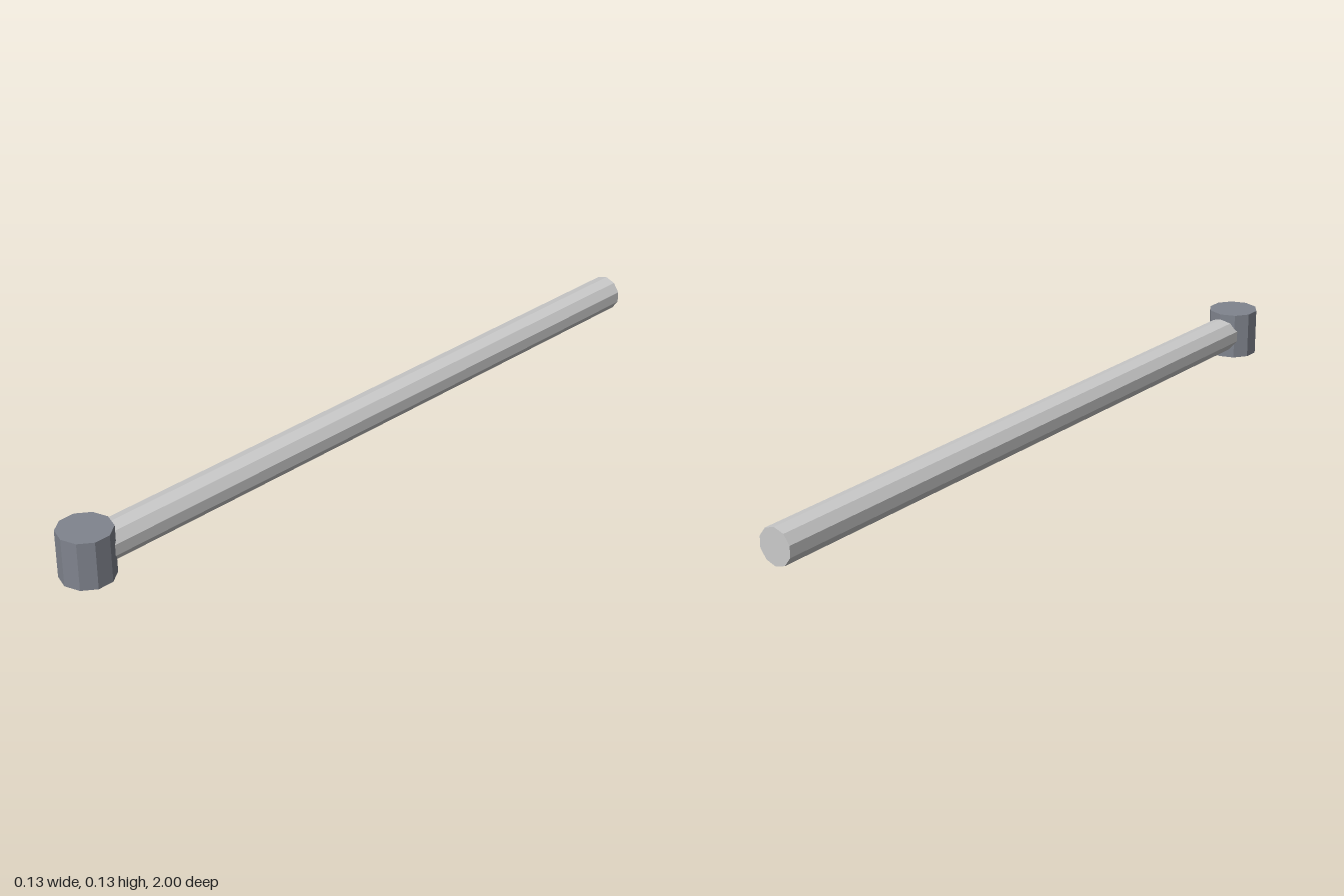
import * as THREE from 'three';

const SIDES = 10;

// Faceted ten-sided cylinder with a corner on its +z side
function prism(name, radius, length, color) {
  const mesh = new THREE.Mesh(
    new THREE.CylinderGeometry(radius, radius, length, SIDES),
    new THREE.MeshStandardMaterial({ color, flatShading: true })
  );
  mesh.name = name;
  return mesh;
}

export function createModel() {
  const group = new THREE.Group();
  group.name = 'mallet';

  const headRadius = 0.07, headHeight = 0.129;
  const headZ = 1 - headRadius;

  // Upright head at the front
  const head = prism('head', headRadius, headHeight, 0x80848e);
  head.position.set(0, headHeight / 2, headZ);
  group.add(head);

  // Long handle running back from the middle of the head
  const handleLength = 1 + headZ;
  const handle = prism('handle', 0.049, handleLength, 0xcccccc);
  handle.rotation.x = -Math.PI / 2;
  handle.position.set(0, headHeight / 2, headZ - handleLength / 2);
  group.add(handle);

  return group;
}
